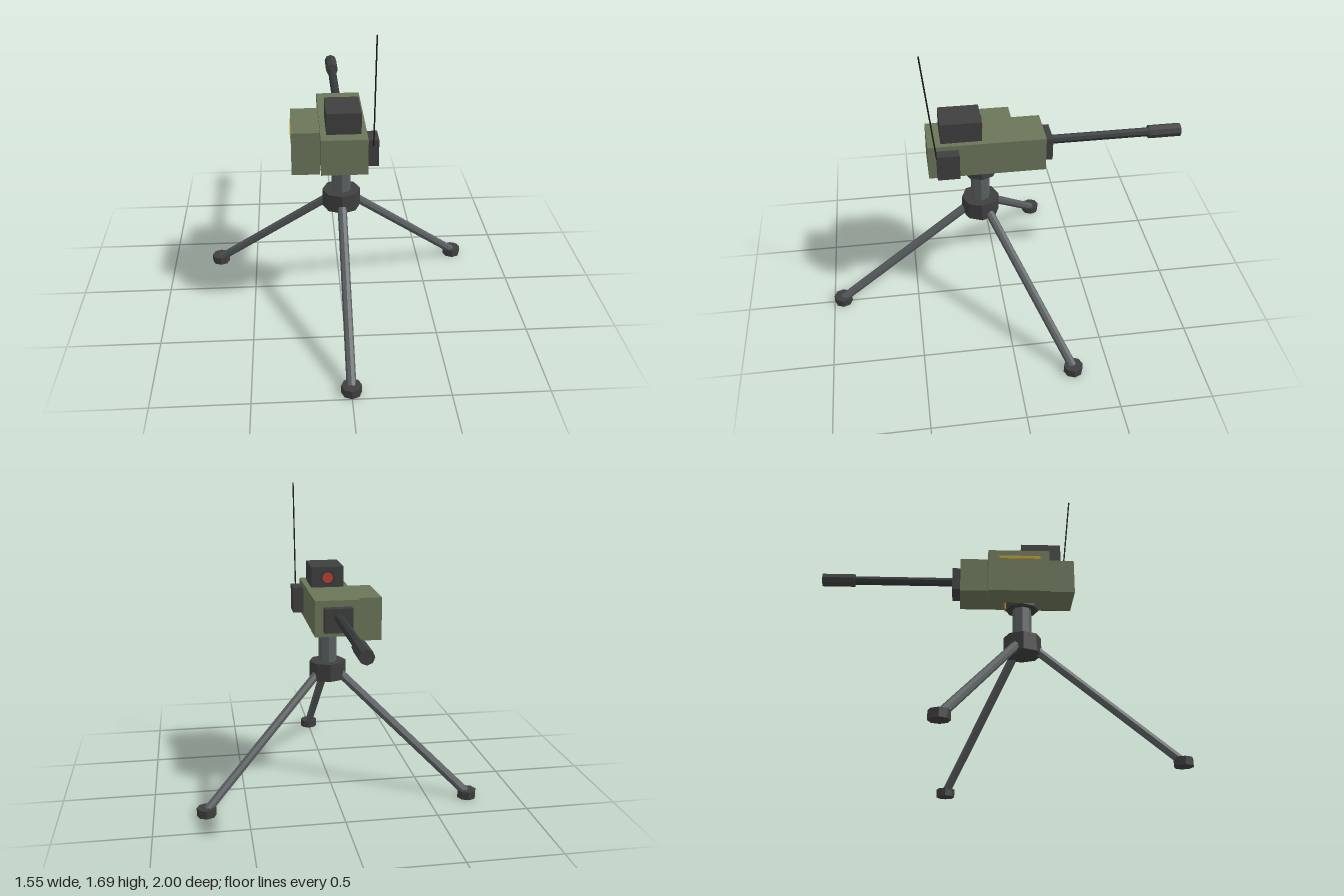
import * as THREE from 'three';

const mat = (name, color) => {
  const m = new THREE.MeshStandardMaterial({ color });
  m.name = name;
  return m;
};

export function createModel() {
  const olive = mat('olive paint', 0x6b7559);
  const dark = mat('dark grey', 0x3f3f40);
  const steel = mat('steel grey', 0x5c6062);
  const gunmetal = mat('gunmetal', 0x36393b);
  const black = mat('black', 0x1c1c1c);
  const red = mat('lens red', 0xb8402c);
  const yellow = mat('marking yellow', 0xb8962a);

  const model = new THREE.Group();
  model.name = 'tripodTurret';
  const AXIS_Z = 0.115; // vertical axis of the tripod

  const add = (name, geometry, material) => {
    const mesh = new THREE.Mesh(geometry, material);
    mesh.name = name;
    model.add(mesh);
    return mesh;
  };
  // Box from its minimum and maximum corners
  const box = (name, material, [x0, y0, z0], [x1, y1, z1]) => {
    const mesh = add(name, new THREE.BoxGeometry(x1 - x0, y1 - y0, z1 - z0), material);
    mesh.position.set((x0 + x1) / 2, (y0 + y1) / 2, (z0 + z1) / 2);
    return mesh;
  };
  // Faceted rod between two points
  const rod = (name, material, from, to, radius, sides = 8) => {
    const a = new THREE.Vector3(...from), b = new THREE.Vector3(...to);
    const dir = b.clone().sub(a);
    const geometry = new THREE.CylinderGeometry(radius, radius, dir.length(), sides).toNonIndexed();
    geometry.computeVertexNormals();
    const mesh = add(name, geometry, material);
    mesh.position.copy(a).add(b).multiplyScalar(0.5);
    mesh.quaternion.setFromUnitVectors(new THREE.Vector3(0, 1, 0), dir.normalize());
    return mesh;
  };

  // Tripod: three splayed legs with round feet
  for (let i = 0; i < 3; i++) {
    const angle = (i * Math.PI * 2) / 3;
    const at = (r, y) => [Math.sin(angle) * r, y, AXIS_Z + Math.cos(angle) * r];
    rod('leg', steel, at(0.06, 0.655), at(0.825, 0.03), 0.025);
    rod('foot', dark, at(0.832, 0), at(0.832, 0.045), 0.052);
  }

  // Hub, column and swivel
  rod('hub', dark, [0, 0.61, AXIS_Z], [0, 0.71, AXIS_Z], 0.104);
  rod('column', steel, [0, 0.7, AXIS_Z], [0, 0.9, AXIS_Z], 0.052);
  rod('swivelCollar', dark, [0, 0.88, AXIS_Z], [0, 0.92, AXIS_Z], 0.092);
  rod('swivelTop', steel, [0, 0.915, AXIS_Z], [0, 0.945, AXIS_Z], 0.07);
  box('swivelMark', yellow, [-0.02, 0.883, 0.018], [0.02, 0.917, 0.027]);

  // Main housing and side box
  box('housing', olive, [-0.12, 0.94, -0.23], [0.12, 1.135, 0.4]);
  box('sideBox', olive, [-0.27, 0.87, -0.08], [-0.12, 1.11, 0.25]);
  box('sideBoxStripe', yellow, [-0.274, 1.06, -0.02], [-0.268, 1.077, 0.2]);

  // Barrel assembly
  box('barrelMount', dark, [-0.075, 0.97, -0.275], [0.075, 1.1, -0.23]);
  rod('barrel', gunmetal, [0, 1.05, -0.27], [0, 1.05, -0.83], 0.025);
  rod('muzzle', dark, [0, 1.05, -0.82], [0, 1.05, -1], 0.037);

  // Sight with lens looking along the barrel
  box('sight', dark, [-0.09, 1.13, 0.11], [0.09, 1.25, 0.33]);
  rod('lensRing', gunmetal, [0, 1.19, 0.115], [0, 1.19, 0.104], 0.045, 12);
  rod('lens', red, [0, 1.19, 0.11], [0, 1.19, 0.1], 0.03, 12);

  // Radio unit with a tilted whip antenna
  box('radioBox', dark, [0.12, 0.965, 0.238], [0.178, 1.11, 0.357]);
  rod('antenna', black, [0.15, 1.08, 0.356], [0.15, 1.687, 0.42], 0.004, 6);

  return model;
}
